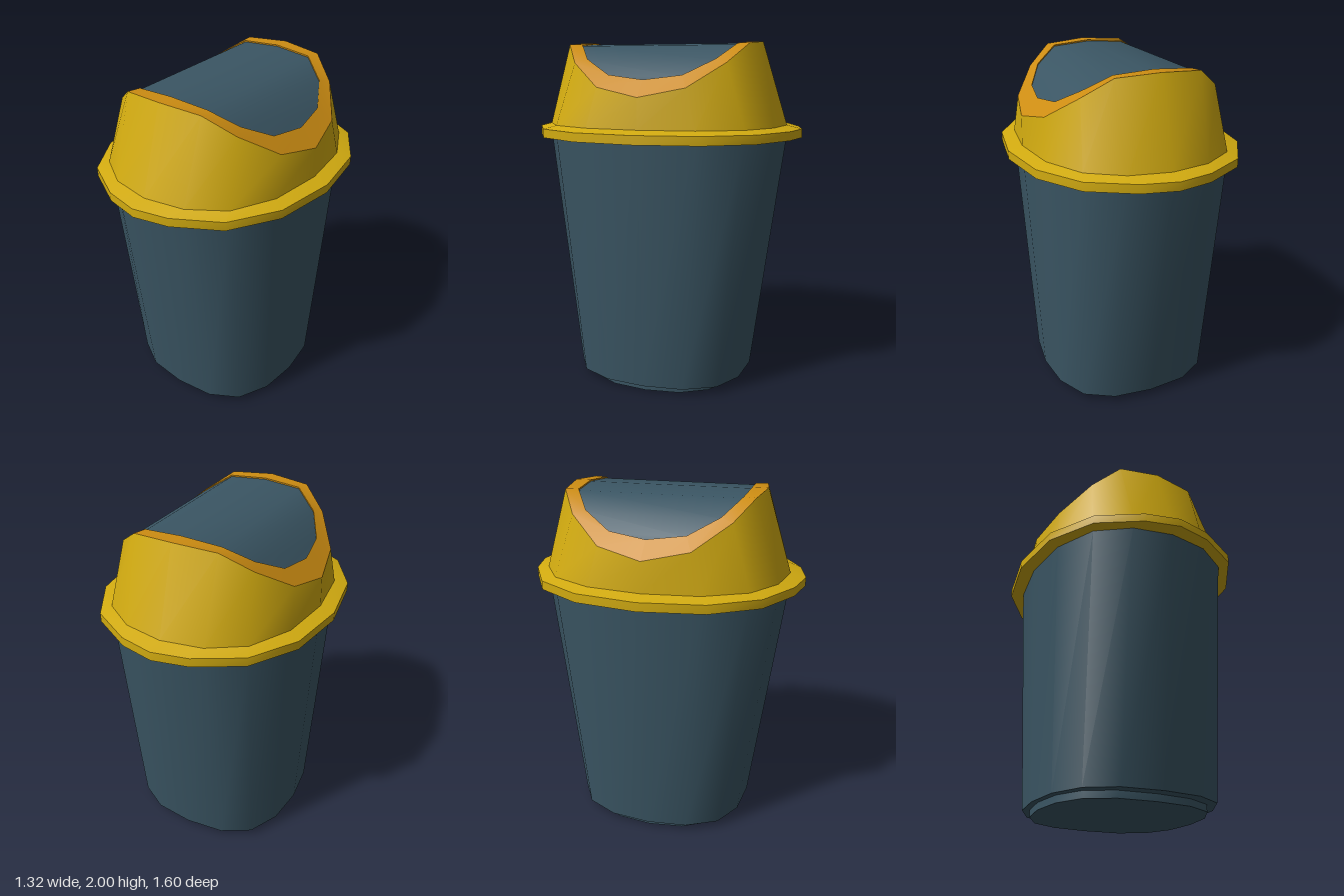
import * as THREE from 'three';
import { mergeGeometries } from 'three/addons/utils/BufferGeometryUtils.js';

const blue = new THREE.MeshStandardMaterial({ color: 0x3a5563 });
const yellow = new THREE.MeshStandardMaterial({ color: 0xd2ab10 });
const orange = new THREE.MeshStandardMaterial({ color: 0xcc8c12 });

// Mirrors one quadrant of [x, z, y] points (from the +x side to the front) into a 16-sided ring.
function ring(quadrant, y = 0) {
  const p = quadrant.map(([x, z, py = 0]) => [x, py + y, z]);
  const half = [...p, ...p.slice(0, 4).reverse().map(([x, h, z]) => [-x, h, z])];
  return [...half, ...half.slice(1, 8).reverse().map(([x, h, z]) => [x, h, -z])];
}

// Smooth wall between two rings; separate walls keep the edge between them sharp.
function band(a, b) {
  const n = a.length, index = [];
  for (let i = 0; i < n; i++) {
    const j = (i + 1) % n;
    index.push(i, i + n, j, j, i + n, j + n);
  }
  const geo = new THREE.BufferGeometry();
  geo.setAttribute('position', new THREE.Float32BufferAttribute([...a, ...b].flat(), 3));
  geo.setIndex(index);
  geo.computeVertexNormals();
  return geo;
}

// Joins successive rings into one shell.
const shell = (rings) => mergeGeometries(rings.slice(1).map((r, i) => band(rings[i], r)));

// Sheet bent over the x axis, spanning front to back inside a ring outline.
function bentPanel(quadrant, drop) {
  const cols = [...quadrant, ...quadrant.slice(0, 4).reverse().map(([x, z, y]) => [-x, z, y])];
  const pos = [], index = [];
  cols.forEach(([x, z, y], i) => {
    pos.push(x, y - drop, z, x, y - drop, -z);
    if (i) {
      const a = 2 * i - 2;
      index.push(a, a + 1, a + 2, a + 2, a + 1, a + 3);
    }
  });
  const geo = new THREE.BufferGeometry();
  geo.setAttribute('position', new THREE.Float32BufferAttribute(pos, 3));
  geo.setIndex(index);
  geo.computeVertexNormals();
  return geo;
}

export function createModel() {
  const group = new THREE.Group();
  const add = (name, geo, material) => {
    const mesh = new THREE.Mesh(geo, material);
    mesh.name = name;
    group.add(mesh);
  };

  // Quadrant outlines: x, z and, where the edge is curved, y
  const centre = Array(5).fill([0, 0]);
  const foot = [[0.475, 0], [0.45, 0.2], [0.365, 0.355], [0.21, 0.435], [0, 0.455]];
  const bodyBase = [[0.51, 0], [0.485, 0.23], [0.395, 0.41], [0.23, 0.505], [0, 0.53]];
  const bodyTop = [[0.578, 0], [0.54, 0.31], [0.42, 0.545], [0.23, 0.67], [0, 0.712]];
  const rimOuter = [[0.66, 0], [0.607, 0.355], [0.447, 0.615], [0.2, 0.756], [0, 0.8]];
  const hoodTop = [[0.572, 0, 1.7], [0.52, 0.25, 1.75], [0.385, 0.435, 1.88], [0.24, 0.53, 1.985], [0, 0.562, 2]];
  const opening = [[0.475, 0, 1.79], [0.445, 0.21, 1.815], [0.355, 0.37, 1.9], [0.22, 0.46, 1.985], [0, 0.472, 2]];

  // Tapered bin with a small stepped foot
  add('foot', shell([ring(centre, 0), ring(foot, 0), ring(foot, 0.04)]), blue);
  add('body', shell([ring(foot, 0.04), ring(bodyBase, 0.04), ring(bodyTop, 1.465)]), blue);

  // Lid: overhanging rim, then the hood rising to a saddle-shaped edge
  add('lidRim', shell([ring(bodyTop, 1.46), ring(rimOuter, 1.46), ring(rimOuter, 1.51), ring(bodyTop, 1.53)]), yellow);
  add('lidHood', shell([ring(bodyTop, 1.53), ring(hoodTop)]), yellow);

  // Lip round the opening and the curved swing flap set just inside it
  add('openingLip', shell([ring(hoodTop), ring(opening), ring(opening, -0.03)]), orange);
  add('swingFlap', bentPanel(opening, 0.008), blue);
  return group;
}
